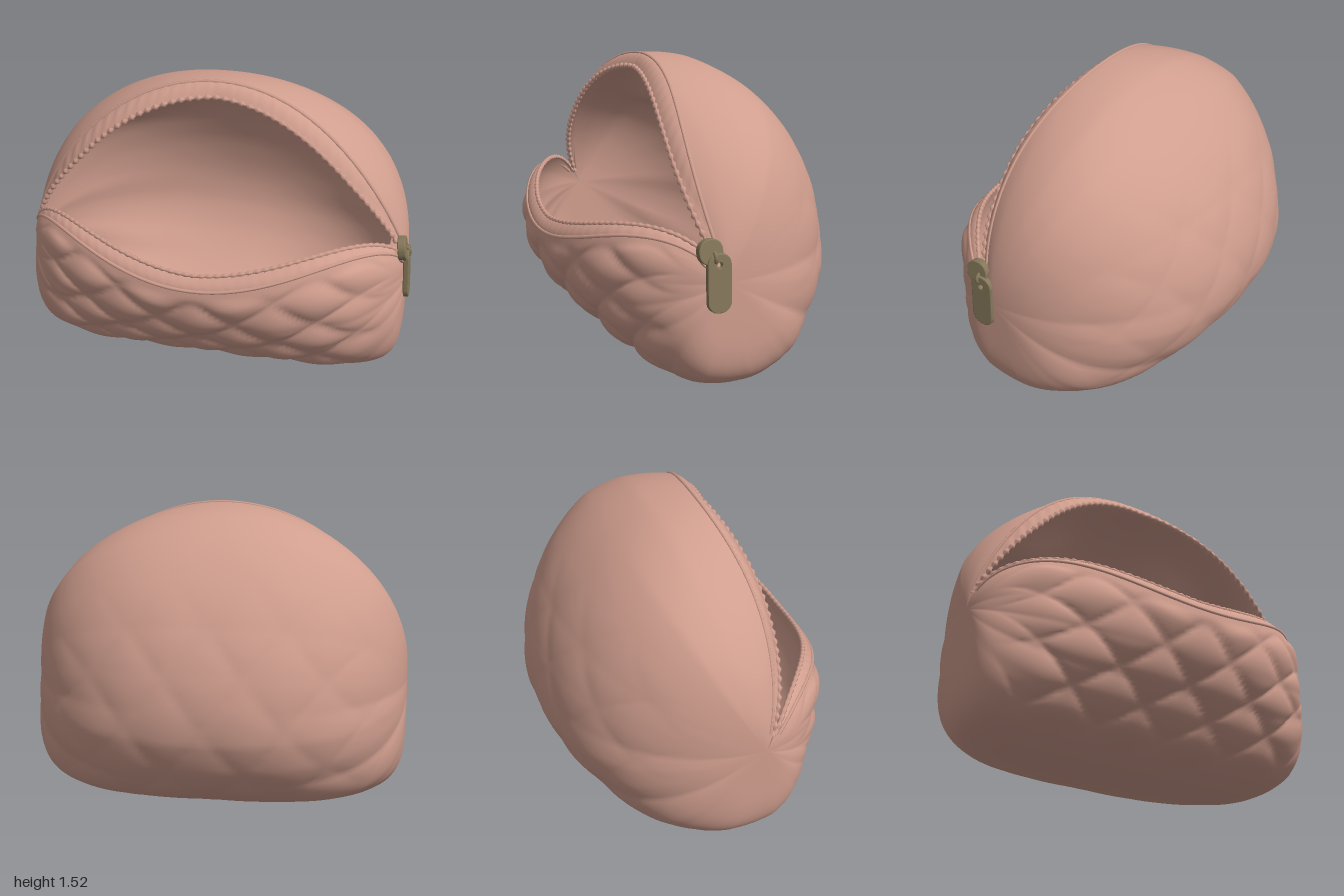
import * as THREE from 'three';

// The pouch is a clamshell: every cross-section turns about an axis through the two side corners.
const HALF = 0.985, PIVOT_Y = 0.6, PIVOT_Z = 0.15, LINING = 0.94;

// [angle in degrees from the front, radius at the middle]
const RADIUS = [
  [-300, 0.86], [-269, 0.905], [-254, 0.915], [-243, 0.9], [-226, 0.875], [-208, 0.855], [-193, 0.86],
  [-180, 0.875], [-170, 0.878], [-159, 0.858], [-148, 0.825], [-135, 0.775], [-121, 0.69], [-104, 0.618],
  [-86, 0.585], [-69, 0.555], [-55, 0.525], [-40, 0.515], [-20, 0.54], [0, 0.57], [15, 0.56], [65, 0.52],
];
// [angle, squareness of the cross-section]
const SQUARE = [
  [-300, 1.6], [-285, 1.65], [-271, 1.9], [-240, 2.4], [-205, 2.25], [-180, 2.15], [-150, 2.6], [-130, 4],
  [-105, 6.5], [-80, 6.5], [-58, 4.2], [-40, 2.9], [-20, 2.2], [0, 2.0], [25, 2.1], [65, 2.1],
];

function lookUp(table, x) {
  let i = 1;
  while (i < table.length - 1 && table[i][0] < x) i++;
  const [x0, y0] = table[i - 1], [x1, y1] = table[i];
  return y0 + (y1 - y0) * THREE.MathUtils.clamp((x - x0) / (x1 - x0), 0, 1);
}

const { smoothstep } = THREE.MathUtils;

// Angles of the two seams and widths of the zip tapes, a = 0 middle to 1 corner
const frontSeam = a => 5 + 45 * a * a;
const backSeam = a => -269 - 16 * a * a;
const frontTape = a => 7 + 4 * a;
const backTape = a => 4 + 6 * a;

// Point on the pouch: s across from -1 to 1, angle round the axis
function shellPoint(s, angle, scale = 1, extra = 0) {
  const a = Math.min(1, Math.abs(s)), n = lookUp(SQUARE, angle);
  const base = Math.pow(Math.max(0, 1 - Math.pow(a, n)), 1 / n);
  const r = Math.max(0, lookUp(RADIUS, angle) * base * scale + extra * Math.min(1, base * 2));
  const t = THREE.MathUtils.degToRad(angle);
  return new THREE.Vector3(HALF * s, PIVOT_Y + r * Math.sin(t), PIVOT_Z + r * Math.cos(t));
}

// Diamond quilting, strong on the front and faint on the back
function quilt(s, angle) {
  const a = Math.abs(s);
  const front = smoothstep(angle, -80, -58) * (1 - smoothstep(angle, frontSeam(a) - 12, frontSeam(a) - 3));
  const back = smoothstep(angle, -235, -190) * (1 - smoothstep(angle, -150, -125));
  const u = s * HALF / 0.39, v = THREE.MathUtils.degToRad(angle) * 0.56 / 0.34;
  const puff = Math.pow(Math.abs(Math.sin(Math.PI * (u + v)) * Math.sin(Math.PI * (u - v))), 0.6);
  return (puff - 0.4) * (0.034 * front + 0.010 * back) * (1 - smoothstep(a, 0.72, 1));
}

// Smooth grid surface from a rule point(u, v), u and v from 0 to 1
function surface(cols, rows, point) {
  const pos = [], index = [];
  for (let j = 0; j <= rows; j++) {
    for (let i = 0; i <= cols; i++) {
      pos.push(...point(i / cols, j / rows).toArray());
      if (i < cols && j < rows) {
        const k = j * (cols + 1) + i, m = k + cols + 1;
        index.push(k, m, k + 1, k + 1, m, m + 1);
      }
    }
  }
  const g = new THREE.BufferGeometry();
  g.setAttribute('position', new THREE.Float32BufferAttribute(pos, 3));
  g.setIndex(index);
  g.computeVertexNormals();
  return g;
}

// Across position, with columns gathered towards the corners
const across = u => {
  const p = Math.sin((u - 0.5) * Math.PI);
  return 0.45 * p + 0.55 * Math.sin(p * Math.PI / 2);
};

// Rounded plate in the z-y plane, thin along x
function plate(width, height, thick, hole) {
  const r = Math.min(width, height) * 0.45, w = width / 2 - r, h = height / 2 - r;
  const s = new THREE.Shape();
  s.absarc(w, h, r, 0, Math.PI / 2);
  s.absarc(-w, h, r, Math.PI / 2, Math.PI);
  s.absarc(-w, -h, r, Math.PI, Math.PI * 1.5);
  s.absarc(w, -h, r, Math.PI * 1.5, Math.PI * 2);
  s.closePath();
  if (hole) s.holes.push(new THREE.Path().absarc(0, h, hole, 0, Math.PI * 2, true));
  const g = new THREE.ExtrudeGeometry(s, {
    depth: thick, bevelEnabled: true, bevelSize: 0.005, bevelThickness: 0.005, bevelSegments: 2, curveSegments: 8,
  });
  return g.translate(0, 0, -thick / 2).rotateY(Math.PI / 2);
}

export function createModel() {
  const model = new THREE.Group();
  model.name = 'openPouch';
  const fabric = new THREE.MeshStandardMaterial({ color: 0xd09e8e, side: THREE.DoubleSide });
  fabric.name = 'dusty pink fabric';
  const metal = new THREE.MeshStandardMaterial({ color: 0x85785a });
  metal.name = 'olive metal';

  const add = (name, geometry, material = fabric, parent = model) => {
    const mesh = new THREE.Mesh(geometry, material);
    mesh.name = name;
    parent.add(mesh);
    return mesh;
  };

  // Quilted outside
  add('outerShell', surface(160, 180, (u, v) => {
    const s = across(u), a = Math.abs(s);
    const angle = THREE.MathUtils.lerp(frontSeam(a), backSeam(a), v);
    return shellPoint(s, angle, 1, quilt(s, angle));
  }));

  // Lining, sagging inwards at the two upper corners
  add('lining', surface(80, 90, (u, v) => {
    const s = across(u), a = Math.abs(s);
    const angle = THREE.MathUtils.lerp(frontSeam(a) + frontTape(a), backSeam(a) - backTape(a), v);
    const sag = Math.exp(-(((a - 0.5) / 0.23) ** 2) - ((angle + 244) / 15) ** 2);
    return shellPoint(s, angle, LINING, -0.14 * sag);
  }));

  // Zip tapes, seam piping and toothed edges along both lips
  const lips = [
    ['front', frontSeam, frontTape, 1, 0.003],
    ['back', backSeam, backTape, -1, 0.007],
  ];
  for (const [side, seam, tape, dir, ripple] of lips) {
    const lipPoint = (s, v, extra = 0) => {
      const a = Math.abs(s);
      return shellPoint(s, seam(a) + dir * tape(a) * v, 1 - (1 - LINING) * v * v, extra);
    };
    add(side + 'ZipTape', surface(180, 6, (u, v) => {
      const s = across(u);
      return lipPoint(s, v, ripple * 0.6 * Math.sin(s * 110) * Math.sin(v * Math.PI));
    }));
    const line = v => new THREE.CatmullRomCurve3(
      Array.from({ length: 61 }, (_, i) => lipPoint(across(i / 60) * 0.985, v)));
    add(side + 'Piping', new THREE.TubeGeometry(line(0), 120, 0.009, 6));
    const edge = new THREE.TubeGeometry(line(1), 240, 0.011, 6);
    // Teeth: swell and pinch the edge at a steady beat
    const p = edge.attributes.position, n = edge.attributes.normal;
    for (let i = 0; i < p.count; i++) {
      const d = ripple * 0.6 * (Math.floor(i / 7) % 4 < 2 ? 1 : -1);
      p.setXYZ(i, p.getX(i) + n.getX(i) * d, p.getY(i) + n.getY(i) * d, p.getZ(i) + n.getZ(i) * d);
    }
    edge.computeVertexNormals();
    add(side + 'Teeth', edge);
  }

  // Zip end on the left corner
  const end = add('zipEnd', plate(0.14, 0.10, 0.05));
  end.position.set(0.935, 0.72, 0.2);
  end.rotation.z = 0.2;

  // Slider with its hanging pull
  const zip = new THREE.Group();
  zip.name = 'zipPull';
  const slider = add('slider', plate(0.11, 0.11, 0.03), metal, zip);
  slider.position.set(0.96, 0.75, 0.23);
  slider.rotation.z = 0.15;
  const bridge = add('sliderBridge', new THREE.TorusGeometry(0.025, 0.01, 8, 16), metal, zip);
  bridge.position.set(0.972, 0.725, 0.215);
  const tab = add('pullTab', plate(0.11, 0.27, 0.018, 0.018), metal, zip);
  tab.position.set(0.987, 0.605, 0.195);
  tab.rotation.z = 0.05;
  model.add(zip);

  return model;
}
